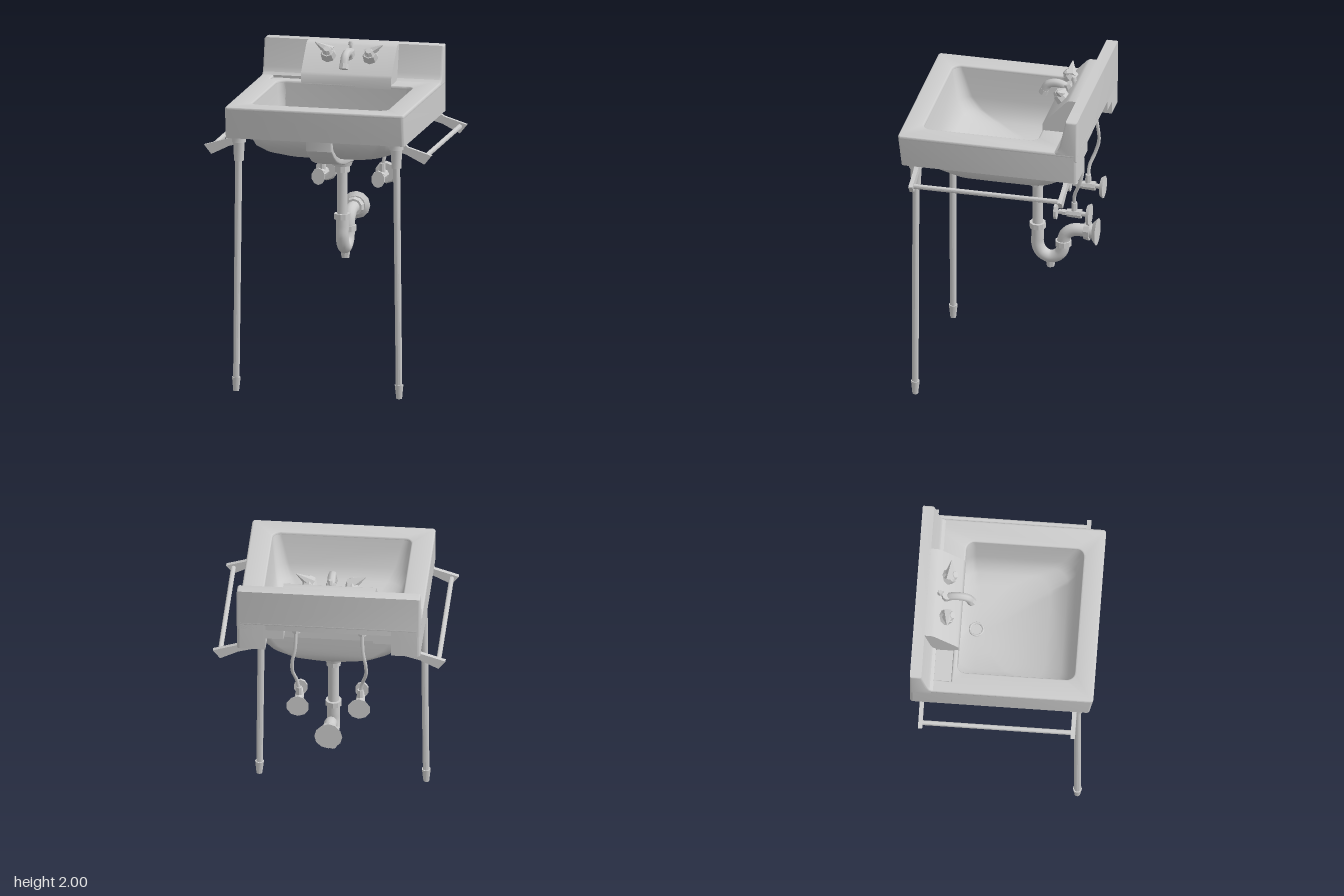
import * as THREE from 'three';
import { toCreasedNormals } from 'three/addons/utils/BufferGeometryUtils.js';

const V = (x, y, z) => new THREE.Vector3(x, y, z);
const material = new THREE.MeshStandardMaterial({ color: 0xcccccc, roughness: 0.6 });

function add(parent, name, geometry, crease = 0.6) {
  const mesh = new THREE.Mesh(crease ? toCreasedNormals(geometry, crease) : geometry, material);
  mesh.name = name;
  parent.add(mesh);
  return mesh;
}

// Round bar between two points
function rod(parent, name, a, b, ra, rb = ra, sides = 12) {
  const dir = b.clone().sub(a);
  const mesh = add(parent, name, new THREE.CylinderGeometry(rb, ra, dir.length(), sides));
  mesh.position.copy(a).add(b).multiplyScalar(0.5);
  mesh.quaternion.setFromUnitVectors(V(0, 1, 0), dir.normalize());
  return mesh;
}

function pipe(parent, name, points, radius, sides = 12, steps = 36) {
  const curve = new THREE.CatmullRomCurve3(points, false, 'centripetal');
  return add(parent, name, new THREE.TubeGeometry(curve, steps, radius, sides), 0);
}

// Rounded rectangle as a loop of points
function roundedLoop(hx, z0, z1, r, steps = 6) {
  const points = [];
  const corners = [[hx - r, z1 - r], [r - hx, z1 - r], [r - hx, z0 + r], [hx - r, z0 + r]];
  corners.forEach(([cx, cz], i) => {
    for (let k = 0; k <= steps; k++) {
      const a = (i + k / steps) * Math.PI / 2;
      points.push(new THREE.Vector2(cx + r * Math.cos(a), cz + r * Math.sin(a)));
    }
  });
  return points;
}

// Side profile of [z, y] points, extruded across x and centred on it
function acrossX(profile, width, bevel = 0) {
  const shape = new THREE.Shape(profile.map(([z, y]) => new THREE.Vector2(z, y)));
  const geometry = new THREE.ExtrudeGeometry(shape, {
    depth: width - 2 * bevel, bevelEnabled: bevel > 0, bevelSize: bevel,
    bevelThickness: bevel, bevelOffset: -bevel, bevelSegments: 3,
  });
  return geometry.rotateY(-Math.PI / 2).translate(width / 2 - bevel, 0, 0);
}

// Plan outline extruded down from the given height, front face leaning inward
function slab(shape, top, height, bevel = 0) {
  const geometry = new THREE.ExtrudeGeometry(shape, {
    depth: height - 2 * bevel, bevelEnabled: bevel > 0, bevelSize: bevel,
    bevelThickness: bevel, bevelOffset: -bevel, bevelSegments: 3,
  });
  geometry.rotateX(Math.PI / 2).translate(0, top - bevel, 0);
  const p = geometry.attributes.position;
  for (let i = 0; i < p.count; i++) {
    if (p.getZ(i) > 0.5) p.setZ(i, p.getZ(i) - (1.765 - p.getY(i)) * 0.12);
  }
  return geometry;
}

// Skin over stacked rings of [y, half width, back z, front z, corner radius]
function loft(rings, outward) {
  const positions = [], index = [];
  let n = 0;
  for (const [y, hx, z0, z1, r] of rings) {
    const loop = roundedLoop(hx, z0, z1, r);
    n = loop.length;
    loop.forEach((q) => positions.push(q.x, y, q.y));
  }
  const tri = (a, b, c) => (outward ? index.push(a, b, c) : index.push(a, c, b));
  for (let j = 0; j < rings.length - 1; j++) {
    for (let i = 0; i < n; i++) {
      const a = j * n + i, b = j * n + (i + 1) % n;
      tri(a, b, a + n);
      tri(b, b + n, a + n);
    }
  }
  const last = (rings.length - 1) * n;
  for (let i = 1; i < n - 1; i++) tri(last, last + i, last + i + 1);
  const geometry = new THREE.BufferGeometry();
  geometry.setAttribute('position', new THREE.Float32BufferAttribute(positions, 3));
  geometry.setIndex(index);
  geometry.computeVertexNormals();
  return geometry;
}

function buildBasin(g) {
  // Rim: thin rounded top with a soap dish recess, over a deep apron notched at the back
  const opening = () => new THREE.Path(roundedLoop(0.42, -0.28, 0.43, 0.05));
  const top = new THREE.Shape(roundedLoop(0.555, -0.555, 0.555, 0.02));
  top.holes.push(opening(), new THREE.Path(
    [[-0.48, -0.43], [-0.25, -0.43], [-0.25, -0.31], [-0.48, -0.31]].map(([x, z]) => new THREE.Vector2(x, z))));
  add(g, 'rimTop', slab(top, 1.765, 0.03, 0.01));

  const outline = roundedLoop(0.555, -0.555, 0.555, 0.02);
  const notch = [[-0.38, -0.555], [-0.38, -0.41], [0.38, -0.41], [0.38, -0.555]];
  outline.splice(21, 0, ...notch.map(([x, z]) => new THREE.Vector2(x, z)));
  const apron = new THREE.Shape(outline);
  apron.holes.push(opening());
  add(g, 'apron', slab(apron, 1.75, 0.18));

  // Backsplash, with stepped fillers around the rear notch
  add(g, 'backsplash', acrossX([[-0.555, 1.71], [-0.415, 1.71], [-0.415, 1.765], [-0.435, 1.78],
    [-0.447, 1.81], [-0.485, 1.98], [-0.555, 1.98]], 1.11, 0.012));
  for (const s of [-1, 1]) {
    add(g, 'backStep', new THREE.BoxGeometry(0.11, 0.09, 0.145)).position.set(s * 0.325, 1.695, -0.4825);
  }
  add(g, 'faucetLedge', acrossX([[-0.5, 1.74], [-0.28, 1.74], [-0.28, 1.805], [-0.29, 1.822],
    [-0.425, 1.968], [-0.445, 1.98], [-0.5, 1.98]], 0.56));

  // Bowl, inside and underside
  add(g, 'bowlInside', loft([
    [1.75, 0.42, -0.28, 0.43, 0.05], [1.7, 0.415, -0.282, 0.42, 0.06], [1.57, 0.4, -0.3, 0.39, 0.08],
    [1.5, 0.38, -0.315, 0.34, 0.1], [1.45, 0.34, -0.32, 0.24, 0.12], [1.41, 0.27, -0.315, 0.1, 0.13],
    [1.39, 0.15, -0.28, -0.03, 0.1], [1.383, 0.05, -0.24, -0.14, 0.049]], false), 0);
  add(g, 'bowlUnderside', loft([
    [1.6, 0.445, -0.405, 0.415, 0.07], [1.54, 0.44, -0.4, 0.405, 0.09], [1.49, 0.425, -0.395, 0.38, 0.11],
    [1.44, 0.39, -0.39, 0.3, 0.14], [1.4, 0.32, -0.38, 0.19, 0.16], [1.37, 0.22, -0.35, 0.03, 0.15],
    [1.355, 0.1, -0.28, -0.09, 0.09]], true), 0);
  add(g, 'undersideChannel', acrossX([[0.43, 1.58], [0.425, 1.49], [0.37, 1.445], [0.29, 1.4], [0.2, 1.37],
    [0.06, 1.337], [-0.08, 1.325], [-0.13, 1.315], [-0.25, 1.32], [-0.27, 1.37], [0.05, 1.38],
    [0.18, 1.405], [0.28, 1.45], [0.37, 1.51], [0.4, 1.58]], 0.16, 0.008));
  rod(g, 'drainBoss', V(0, 1.28, -0.19), V(0, 1.36, -0.19), 0.055, 0.08, 16);
  const drain = add(g, 'drainRing', new THREE.TorusGeometry(0.04, 0.008, 8, 20));
  drain.rotation.x = Math.PI / 2;
  drain.position.set(0, 1.386, -0.19);
  add(g, 'overflowPlate', new THREE.BoxGeometry(0.11, 0.035, 0.01)).position.set(0, 1.63, -0.29);
}

function buildFaucet(g) {
  // Spout cross-sections are flattened across x
  pipe(g, 'spout', [V(0, 1.87, -0.39), V(0, 1.925, -0.36), V(0, 1.945, -0.3), V(0, 1.93, -0.25),
    V(0, 1.885, -0.225)], 0.026, 8, 16);
  rod(g, 'spoutTip', V(0, 1.865, -0.218), V(0, 1.895, -0.23), 0.029, 0.027, 8);
  rod(g, 'spoutBase', V(0, 1.86, -0.4), V(0, 1.95, -0.37), 0.035, 0.03, 8);
  rod(g, 'drainPull', V(0, 1.93, -0.41), V(0, 1.985, -0.41), 0.009, 0.009, 8);
  rod(g, 'drainPullKnob', V(0, 1.975, -0.41), V(0, 1.998, -0.41), 0.018, 0.012, 8);
  for (const s of [-1, 1]) {
    const foot = V(s * 0.13, 1.9, -0.385), head = V(s * 0.13, 1.945, -0.342);
    rod(g, 'handleBase', foot, head, 0.052, 0.04, 8);
    rod(g, 'handleCap', head, V(s * 0.13, 1.963, -0.325), 0.033, 0.02, 8);
    rod(g, 'handleLever', V(s * 0.115, 1.935, -0.36), V(s * 0.21, 1.995, -0.355), 0.042, 0.003, 6);
  }
}

function buildTrap(g) {
  const z = -0.185;
  rod(g, 'drainNut', V(0, 1.24, z), V(0, 1.28, z), 0.045, 0.045, 10);
  rod(g, 'tailpiece', V(0, 0.96, z), V(0, 1.25, z), 0.033, 0.033, 16);
  rod(g, 'tailpieceNut', V(0, 0.95, z), V(0, 0.985, z), 0.05, 0.05, 10);
  pipe(g, 'trapBend', [V(0, 0.97, z), V(0, 0.9, z), V(0, 0.84, z), V(0, 0.785, -0.21), V(0, 0.76, -0.265),
    V(0, 0.785, -0.32), V(0, 0.83, -0.342), V(0, 0.88, -0.345), V(0, 0.93, -0.365), V(0, 0.957, -0.41),
    V(0, 0.96, -0.5)], 0.039, 14, 48);
  rod(g, 'trapNut', V(0, 0.845, -0.344), V(0, 0.88, -0.344), 0.05, 0.05, 10);
  rod(g, 'cleanoutPlug', V(0, 0.695, -0.265), V(0, 0.735, -0.265), 0.024, 0.03, 8);
  rod(g, 'wallNut', V(0, 0.96, -0.475), V(0, 0.96, -0.51), 0.052, 0.06, 10);
  rod(g, 'wallPipe', V(0, 0.96, -0.5), V(0, 0.96, -0.55), 0.045, 0.045, 12);
  rod(g, 'wallFlange', V(0, 0.96, -0.53), V(0, 0.96, -0.555), 0.06, 0.085, 12);
}

// Parts repeated on each side
function buildSide(g, s) {
  // Front leg with socket and tapered foot
  const z = 0.455;
  rod(g, 'legSocket', V(s * 0.488, 1.42, z), V(s * 0.488, 1.55, z), 0.03, 0.037);
  rod(g, 'legCollar', V(s * 0.488, 1.535, z), V(s * 0.488, 1.575, z), 0.044, 0.044);
  rod(g, 'frontLeg', V(s * 0.504, 0.06, z), V(s * 0.489, 1.44, z), 0.02, 0.022);
  rod(g, 'foot', V(s * 0.505, 0, z), V(s * 0.504, 0.085, z), 0.018, 0.027);

  // Towel bar on two flared brackets
  const plate = new THREE.Shape([[0.46, 1.572], [0.46, 1.53], [0.55, 1.505], [0.66, 1.45], [0.704, 1.505],
    [0.56, 1.55], [0.53, 1.572]].map(([x, y]) => new THREE.Vector2(s * x, y)));
  for (const bz of [0.44, -0.482]) {
    add(g, 'towelBracket', new THREE.ExtrudeGeometry(plate, { depth: 0.026, bevelEnabled: false })).position.z = bz - 0.013;
  }
  rod(g, 'towelBar', V(s * 0.66, 1.492, -0.48), V(s * 0.66, 1.492, 0.44), 0.015);

  // Shut-off valve and supply tube
  const x = s * 0.185, y = 1.17;
  rod(g, 'valveFlange', V(x, y, -0.535), V(x, y, -0.555), 0.06, 0.07, 10);
  rod(g, 'valvePipe', V(x, y, -0.55), V(x, y, -0.36), 0.015);
  rod(g, 'valveBody', V(x, y, -0.5), V(x, y, -0.41), 0.03, 0.026, 8);
  rod(g, 'valveNut', V(x, y, -0.405), V(x, y, -0.38), 0.02, 0.02, 6);
  rod(g, 'valveHandle', V(x, y, -0.348), V(x, y, -0.332), 0.052, 0.052, 10).scale.set(0.8, 1, 1);
  rod(g, 'valveOutlet', V(x, y, -0.455), V(x, 1.245, -0.455), 0.02, 0.018, 8);
  pipe(g, 'supplyTube', [V(x, 1.23, -0.455), V(s * 0.2, 1.3, -0.46), V(s * 0.222, 1.38, -0.49),
    V(s * 0.222, 1.46, -0.512), V(s * 0.205, 1.56, -0.51), V(s * 0.2, 1.72, -0.48)], 0.011, 8);
  rod(g, 'supplyNut', V(s * 0.2, 1.66, -0.485), V(s * 0.2, 1.72, -0.48), 0.025, 0.025, 8);
}

export function createModel() {
  const model = new THREE.Group();
  model.name = 'wallSink';
  const section = (name, build) => {
    const group = new THREE.Group();
    group.name = name;
    build(group);
    model.add(group);
  };
  section('basin', buildBasin);
  section('faucet', buildFaucet);
  section('drainTrap', buildTrap);
  section('leftSupports', (g) => buildSide(g, 1));
  section('rightSupports', (g) => buildSide(g, -1));
  return model;
}
